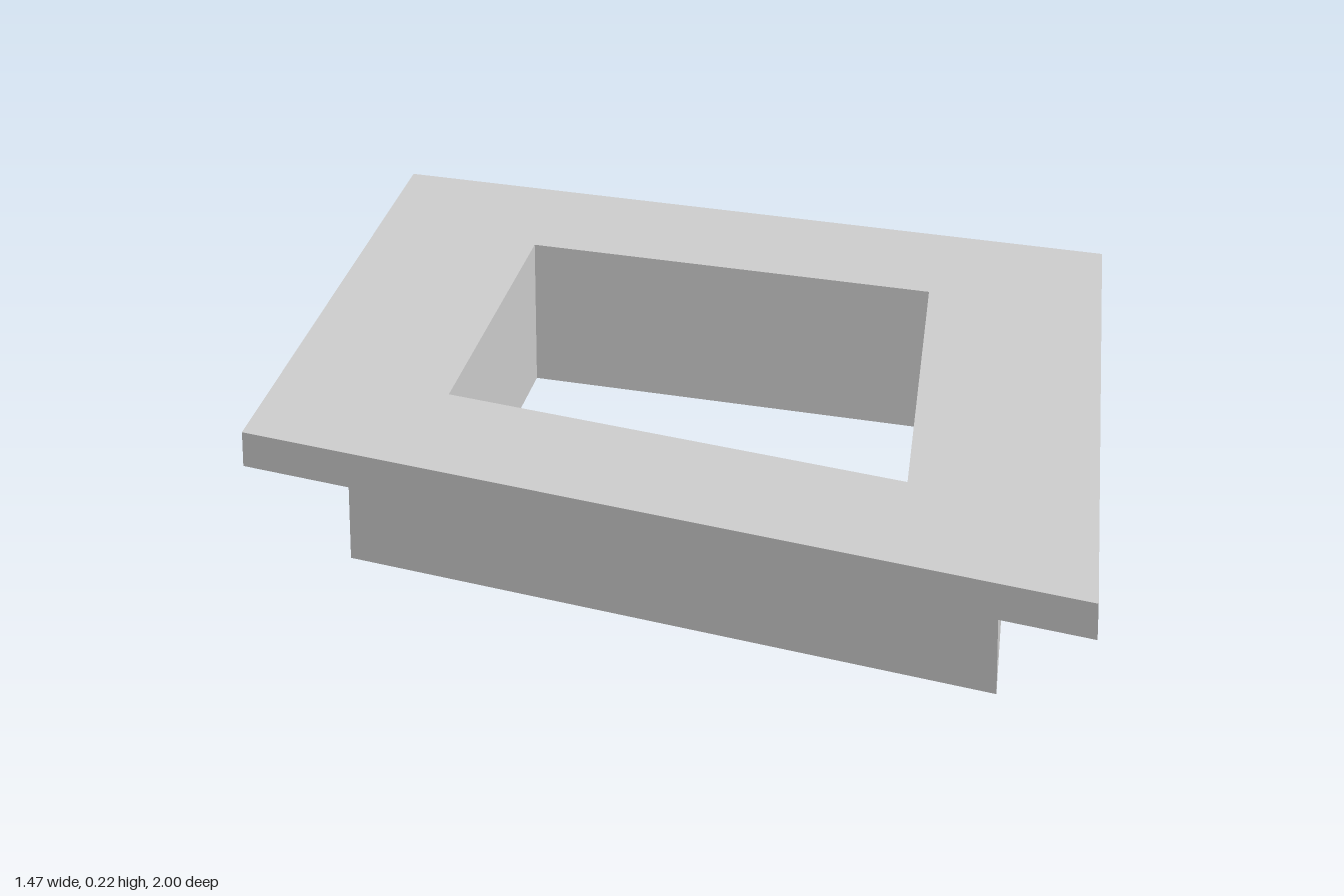
import * as THREE from 'three';

// Kite outlines as [x, z] corners; the opening runs the opposite way round
const OPENING = [[-0.418, -0.087], [-0.038, 0.53], [0.408, -0.09], [0, -0.59]];
const COLLAR = [[0, -0.793], [0.573, -0.092], [-0.046, 0.765], [-0.577, -0.097]];
const FLANGE = [[0, -1], [0.734, -0.095], [-0.054, 1], [-0.735, -0.107]];

const toPoints = (corners) => corners.map(([x, z]) => new THREE.Vector2(x, -z));

// Upright ring between an outline and the shared opening
function ring(name, outline, bottom, top, material) {
  const shape = new THREE.Shape(toPoints(outline));
  shape.holes.push(new THREE.Path(toPoints(OPENING)));
  const geometry = new THREE.ExtrudeGeometry(shape, { depth: top - bottom, bevelEnabled: false });
  geometry.rotateX(-Math.PI / 2);
  geometry.translate(0, bottom, 0);
  const mesh = new THREE.Mesh(geometry, material);
  mesh.name = name;
  return mesh;
}

export function createModel() {
  const grey = new THREE.MeshStandardMaterial({ color: 0xcccccc });
  grey.name = 'light grey';

  const model = new THREE.Group();
  model.name = 'kiteFrame';
  // Lower wall and the wider plate resting on it
  model.add(ring('collar', COLLAR, 0, 0.172, grey));
  model.add(ring('flange', FLANGE, 0.172, 0.223, grey));
  return model;
}
